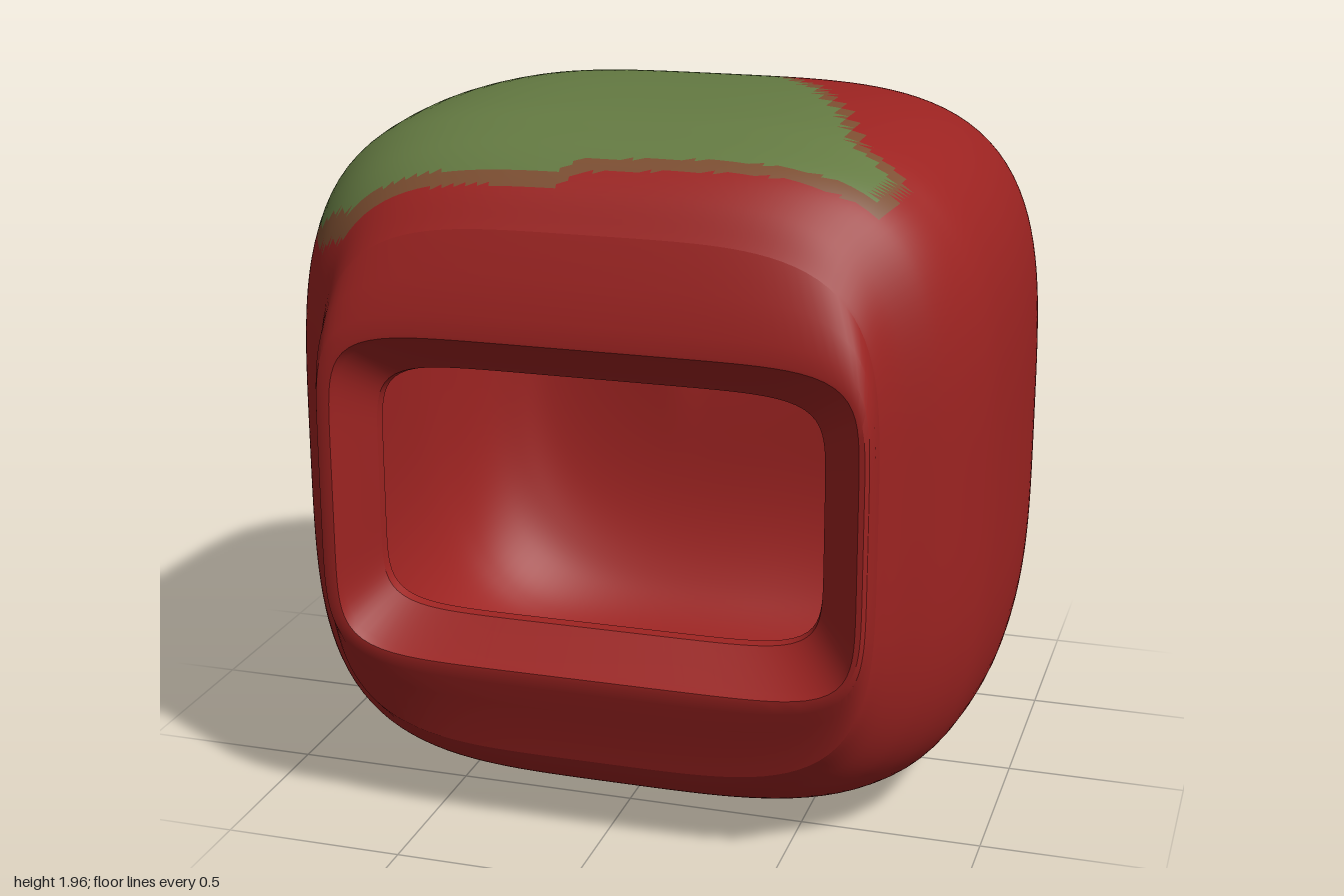
import * as THREE from 'three';
import { toCreasedNormals } from 'three/addons/utils/BufferGeometryUtils.js';

const { smoothstep } = THREE.MathUtils;
const SIDES = 176;

// Cross-sections from front to back: z, left x, right x, bottom y, top y, squareness
const bodySections = [
  [0.77, -0.78, 0.75, 0.24, 1.7, 4.2],
  [0.7, -0.81, 0.79, 0.17, 1.8, 3.9],
  [0.6, -0.89, 0.88, 0.1, 1.88, 3.8],
  [0.48, -0.95, 0.94, 0.05, 1.92, 3.8],
  [0.32, -0.99, 0.98, 0.02, 1.95, 3.8],
  [0, -1, 1, 0.005, 1.96, 3.8],
  [-0.33, -0.97, 0.98, 0.03, 1.94, 3.8],
  [-0.5, -0.92, 0.92, 0.07, 1.9, 3.8],
  [-0.62, -0.86, 0.84, 0.14, 1.83, 3.6],
  [-0.7, -0.78, 0.77, 0.24, 1.75, 3.5],
  [-0.76, -0.68, 0.68, 0.38, 1.65, 3.3],
  [-0.795, -0.5, 0.54, 0.55, 1.5, 3],
  [-0.81, -0.22, 0.25, 0.78, 1.27, 2.5],
  [-0.813, 0.01, 0.011, 1.02, 1.021, 2],
];

// Raised frame that turns in to the open mouth
const rimSections = [
  bodySections[0],
  [0.815, -0.768, 0.748, 0.4, 1.58, 5],
  [0.842, -0.755, 0.74, 0.47, 1.48, 6],
  [0.85, -0.735, 0.73, 0.505, 1.43, 6.5],
  [0.85, -0.715, 0.715, 0.515, 1.42, 7],
  [0.83, -0.705, 0.7, 0.53, 1.405, 7],
  [0.745, -0.625, 0.605, 0.62, 1.315, 7],
  [0.72, -0.62, 0.6, 0.625, 1.31, 7],
];

// Smoothly add sections between the given ones
function refine(sections, count) {
  const a = new THREE.CatmullRomCurve3(sections.map((s) => new THREE.Vector3(s[0], s[1], s[2])), false, 'catmullrom');
  const b = new THREE.CatmullRomCurve3(sections.map((s) => new THREE.Vector3(s[3], s[4], s[5])), false, 'catmullrom');
  return Array.from({ length: count + 1 }, (_, i) => [...a.getPoint(i / count), ...b.getPoint(i / count)]);
}

// Join rounded-square rings into one surface
function loft(sections) {
  const pos = [], index = [];
  sections.forEach(([z, x0, x1, y0, y1, n], i) => {
    for (let j = 0; j < SIDES; j++) {
      const t = (j / SIDES) * Math.PI * 2, c = Math.cos(t), s = Math.sin(t);
      const r = Math.pow(Math.abs(c) ** n + Math.abs(s) ** n, -1 / n);
      const x = (x0 + x1) / 2 + (r * c * (x1 - x0)) / 2;
      const y = (y0 + y1) / 2 + (r * s * (y1 - y0)) / 2;
      // Uneven swelling with a short fold on the back wall
      const swell = 0.042 * smoothstep(-z, 0.68, 0.79) * smoothstep(x, -0.29, -0.15)
        * (1 - smoothstep(x, 0.3, 0.75)) * Math.exp(-(((y - 1.2) / 0.3) ** 2));
      pos.push(x, y, z - swell);
      if (i === sections.length - 1) continue;
      const k = (j + 1) % SIDES, p = i * SIDES, q = p + SIDES;
      index.push(p + j, q + j, p + k, q + j, q + k, p + k);
    }
  });
  const geo = new THREE.BufferGeometry();
  geo.setAttribute('position', new THREE.Float32BufferAttribute(pos, 3));
  geo.setIndex(index);
  geo.computeVertexNormals();
  return geo;
}

// Outline of the moss seen from above (x, z)
const mossOutline = [
  [-0.82, -0.66], [-0.47, -0.69], [-0.06, -0.4], [0.18, -0.38], [0.35, -0.13], [0.5, 0.17],
  [0.59, 0.4], [0.72, 0.47], [0.69, 0.59], [-0.08, 0.64], [-0.13, 0.68], [-0.72, 0.67],
  [-0.86, 0.57], [-0.97, 0.38], [-0.975, -0.3], [-0.9, -0.47],
];

// Distance to the outline, positive inside
function mossDepth(x, z) {
  let inside = false, best = Infinity;
  mossOutline.forEach(([ax, az], i) => {
    const [bx, bz] = mossOutline[(i + 1) % mossOutline.length];
    const dx = bx - ax, dz = bz - az;
    const t = THREE.MathUtils.clamp(((x - ax) * dx + (z - az) * dz) / (dx * dx + dz * dz), 0, 1);
    best = Math.min(best, Math.hypot(x - ax - t * dx, z - az - t * dz));
    if (az > z !== bz > z && x < ax + ((z - az) / dz) * dx) inside = !inside;
  });
  return inside ? best : -best;
}

export function createModel() {
  const group = new THREE.Group();
  const material = (color) => new THREE.MeshStandardMaterial({ color, side: THREE.DoubleSide });
  const add = (name, geo, mat) => {
    const mesh = new THREE.Mesh(geo, mat);
    mesh.name = name;
    group.add(mesh);
  };
  const red = material(0x9c2321);

  // Hollow shell, its triangles sorted into bare shell, moss and the soft moss border
  const shell = loft(refine(bodySections, 130));
  const p = shell.attributes.position, idx = shell.index.array;
  const parts = { shell: [], moss: [], mossEdge: [] };
  for (let i = 0; i < idx.length; i += 3) {
    const tri = [idx[i], idx[i + 1], idx[i + 2]];
    const mean = (get) => tri.reduce((sum, v) => sum + get.call(p, v), 0) / 3;
    const d = mean(p.getY) > 1.58 ? mossDepth(mean(p.getX), mean(p.getZ)) : -1;
    parts[d > 0.015 ? 'moss' : d > -0.02 ? 'mossEdge' : 'shell'].push(...tri);
  }
  const colors = { shell: red, moss: material(0x647a42), mossEdge: material(0x7c4e31) };
  for (const name in parts) {
    const geo = new THREE.BufferGeometry();
    geo.setAttribute('position', p);
    geo.setAttribute('normal', shell.attributes.normal);
    geo.setIndex(parts[name]);
    add(name, geo, colors[name]);
  }

  // Frame around the open mouth
  add('mouthRim', toCreasedNormals(loft(rimSections), 0.5), red);
  return group;
}
